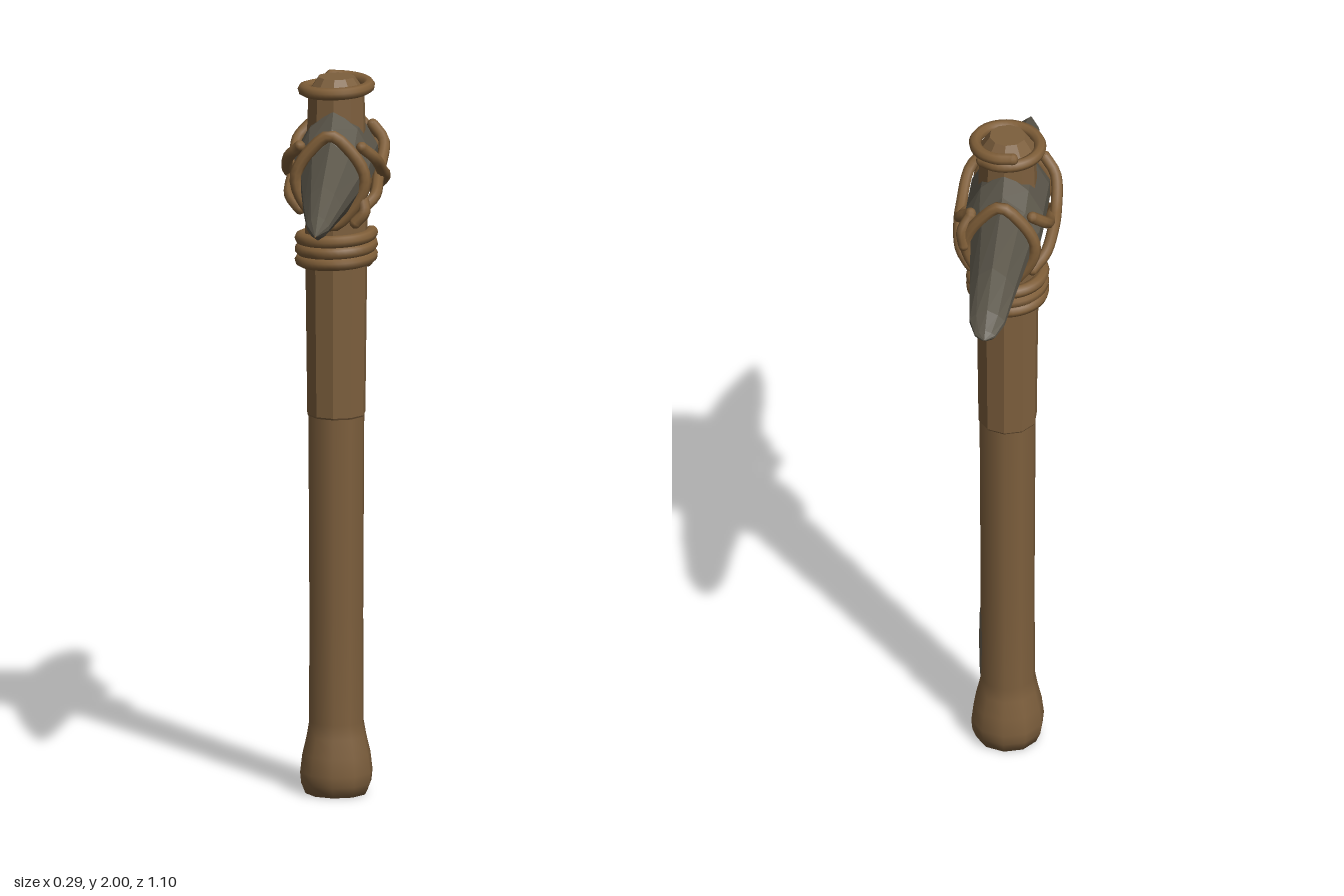
import * as THREE from 'three';

const wood = new THREE.MeshStandardMaterial({ name: 'wood', color: 0x7d5f3d });
const rope = new THREE.MeshStandardMaterial({ name: 'rope', color: 0x7f5e38 });
const stone = new THREE.MeshStandardMaterial({ name: 'stone', color: 0x5c574b });
const scrape = new THREE.MeshStandardMaterial({ name: 'worn grey', color: 0x6a6152 });
const v = (x, y, z) => new THREE.Vector3(x, y, z);

function add(parent, name, geometry, material) {
  const mesh = new THREE.Mesh(geometry, material);
  mesh.name = name;
  parent.add(mesh);
  return mesh;
}

// Faceted copy of a geometry
function facet(geometry) {
  const g = geometry.index ? geometry.toNonIndexed() : geometry;
  g.computeVertexNormals();
  return g;
}

function lathe(points) {
  return new THREE.LatheGeometry(points.map(([r, y]) => new THREE.Vector2(r, y)), 10);
}

// Cord along a path, with rounded ends when it is open
function cord(parent, name, points, radius = 0.017, closed = false) {
  const group = new THREE.Group();
  group.name = name;
  parent.add(group);
  const curve = new THREE.CatmullRomCurve3(points, closed, 'centripetal');
  add(group, name + 'Strand', new THREE.TubeGeometry(curve, points.length * 3, radius, 8, closed), rope);
  if (!closed) {
    for (const p of [points[0], points[points.length - 1]]) {
      add(group, name + 'End', new THREE.SphereGeometry(radius, 8, 6), rope).position.copy(p);
    }
  }
}

// Coil around the handle
function coil(parent, name, radius, y0, y1, turns, start, thickness) {
  const n = Math.round(turns * 12);
  const points = [];
  for (let i = 0; i <= n; i++) {
    const a = start + (i / 12) * Math.PI * 2;
    points.push(v(Math.sin(a) * radius, y0 + (y1 - y0) * i / n, Math.cos(a) * radius));
  }
  cord(parent, name, points, thickness);
}

// Head outline in units of half width and half height, counter-clockwise
const outline = [[1, -0.15], [1, 0.2], [0.62, 0.65], [0, 1], [-0.62, 0.65],
  [-1, 0.2], [-1, -0.15], [-0.62, -0.65], [0, -1], [0.62, -0.65]];

function ring(z, bottom, top, w) {
  const mid = (bottom + top) / 2, h = (top - bottom) / 2;
  return outline.map(([x, y]) => v(x * w, mid + y * h, z));
}

function headGeometry() {
  // z, bottom, top, half width
  const sections = [
    [-0.55, 1.699, 1.703, 0.002], [-0.53, 1.685, 1.72, 0.028], [-0.48, 1.673, 1.753, 0.048],
    [-0.36, 1.652, 1.81, 0.062], [-0.15, 1.622, 1.868, 0.084], [-0.125, 1.612, 1.88, 0.102],
    [-0.07, 1.605, 1.925, 0.106], [0.07, 1.605, 1.925, 0.106], [0.125, 1.612, 1.88, 0.102],
    [0.15, 1.62, 1.85, 0.082], [0.36, 1.638, 1.775, 0.052], [0.48, 1.648, 1.718, 0.03],
    [0.55, 1.672, 1.676, 0.002]];
  const n = outline.length, index = [];
  const points = sections.flatMap((s) => ring(...s));
  for (let i = 0; i < sections.length - 1; i++) {
    for (let j = 0; j < n; j++) {
      const a = i * n + j, b = i * n + (j + 1) % n;
      index.push(a, b, b + n, a, b + n, a + n);
    }
  }
  const g = new THREE.BufferGeometry().setFromPoints(points);
  g.setIndex(index);
  return facet(g);
}

export function createModel() {
  const model = new THREE.Group();
  model.name = 'stonePick';

  // Handle: smooth grip below, hewn facets above
  add(model, 'grip', lathe([[0, 0], [0.086, 0], [0.098, 0.03], [0.101, 0.06], [0.095, 0.11],
    [0.083, 0.16], [0.076, 0.2], [0.075, 0.5], [0.078, 1.06]]), wood);
  add(model, 'hewnShaft', facet(lathe([[0.078, 1.055], [0.081, 1.06], [0.087, 1.55],
    [0.085, 1.75], [0.078, 1.96], [0.05, 2], [0, 2]])), wood);

  // Worn streak low on the left side of the grip
  const oval = new THREE.CircleGeometry(1, 16);
  oval.scale(0.013, 0.115, 1);
  const streak = add(model, 'wornStreak', oval, scrape);
  const a = Math.PI / 2 + 0.4;
  streak.position.set(Math.sin(a) * 0.077, 0.325, Math.cos(a) * 0.077);
  streak.rotation.y = a;

  // Stone head
  add(model, 'stoneHead', headGeometry(), stone);

  // Cords wound round the shaft
  coil(model, 'shaftBinding', 0.096, 1.475, 1.565, 2.9, Math.PI * 0.7, 0.018);
  coil(model, 'topBinding', 0.089, 1.955, 1.982, 1.15, Math.PI * 0.75, 0.017);

  // Cords round the head on both sides of the shaft
  cord(model, 'frontHeadLoop', ring(0.157, 1.615, 1.868, 0.092), 0.017, true);
  cord(model, 'backHeadLoop', ring(-0.17, 1.615, 1.878, 0.092), 0.017, true);

  // Crossed lashings on each cheek
  for (const side of [-1, 1]) {
    for (const dir of [-1, 1]) {
      const bulge = dir * 0.006;
      cord(model, 'cheekLashing', [
        v(side * 0.085, 1.835, dir * 0.145), v(side * 0.118, 1.8, dir * 0.115),
        v(side * (0.124 + bulge), 1.745, dir * 0.03), v(side * (0.124 + bulge), 1.725, -dir * 0.03),
        v(side * 0.116, 1.69, -dir * 0.11), v(side * 0.085, 1.66, -dir * 0.145)], 0.016);
    }
  }

  // Loose cord ends on the left cheek
  cord(model, 'backCordEnd', [v(0.085, 1.83, -0.15), v(0.105, 1.79, -0.172), v(0.1, 1.75, -0.178)], 0.016);
  cord(model, 'frontCordEnd', [v(0.09, 1.69, 0.155), v(0.095, 1.66, 0.17), v(0.07, 1.63, 0.172)], 0.016);

  return model;
}
